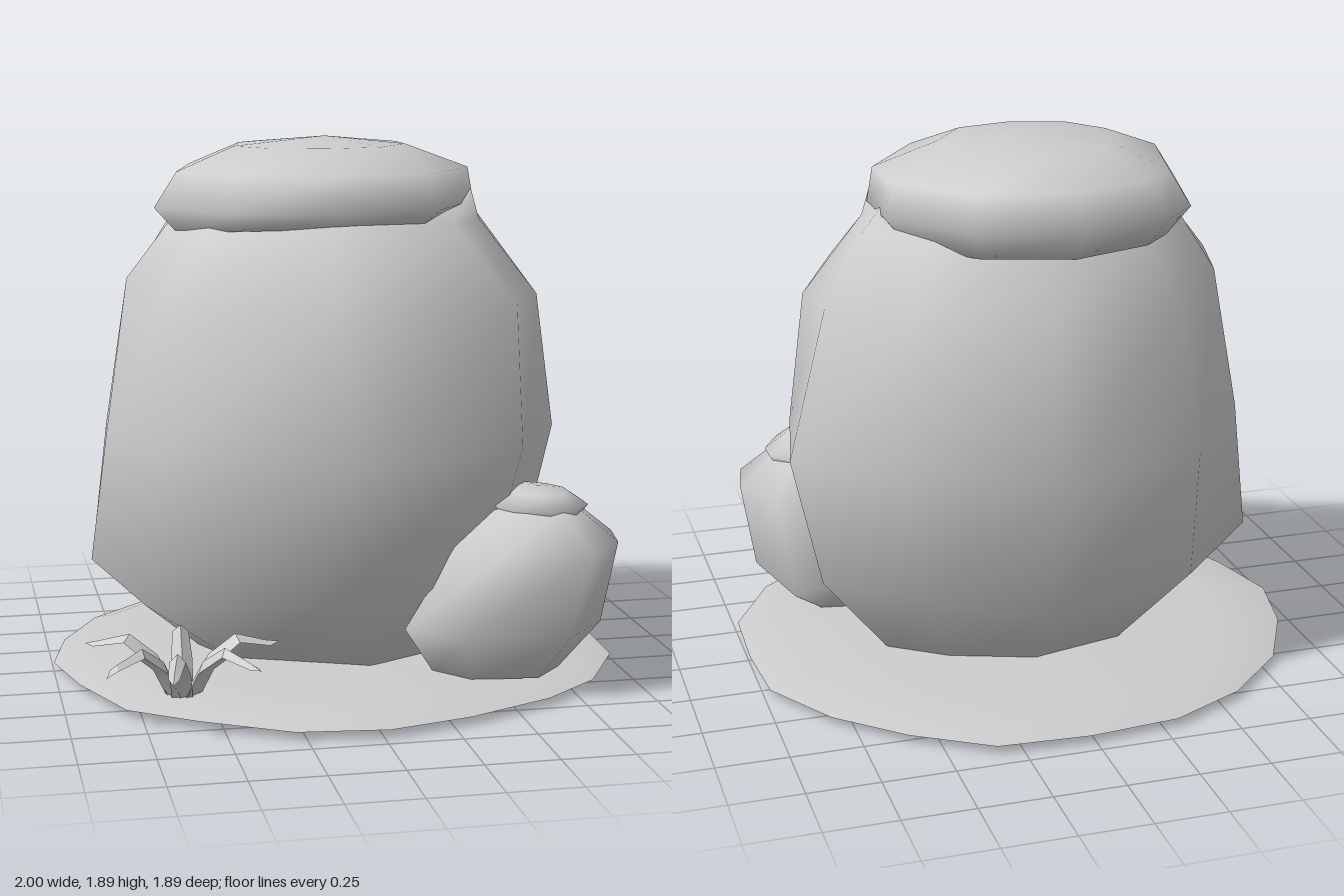
import * as THREE from 'three';
import { toCreasedNormals } from 'three/addons/utils/BufferGeometryUtils.js';

const stone = new THREE.MeshStandardMaterial({ color: 0xcccccc });
stone.name = 'plain grey';

// Skin a stack of equal-length rings of [x, y, z]; both ends close on a centre point.
function loft(rings, bottom, top, crease = 0) {
  const n = rings[0].length;
  const points = [...rings.flat(), bottom, top];
  const lowest = points.length - 2, highest = points.length - 1;
  const last = (rings.length - 1) * n;
  const index = [];
  for (let i = 0; i < n; i++) {
    const j = (i + 1) % n;
    index.push(lowest, i, j);
    for (let r = 0; r < rings.length - 1; r++) {
      const a = r * n, b = a + n;
      index.push(a + i, b + i, a + j, a + j, b + i, b + j);
    }
    index.push(last + i, highest, last + j);
  }
  const g = new THREE.BufferGeometry();
  g.setAttribute('position', new THREE.Float32BufferAttribute(points.flat(), 3));
  g.setIndex(index);
  g.computeVertexNormals();
  return crease ? toCreasedNormals(g, crease) : g;
}

// Fit a plan outline into the x and z limits given for each height.
function fitted(outline, levels) {
  const xs = outline.map(p => p[0]), zs = outline.map(p => p[1]);
  const [ax, bx, az, bz] = [Math.min(...xs), Math.max(...xs), Math.min(...zs), Math.max(...zs)];
  return levels.map(([y, x0, x1, z0, z1]) => outline.map(([x, z]) => [
    x0 + (x - ax) / (bx - ax) * (x1 - x0), y, z0 + (z - az) / (bz - az) * (z1 - z0)]));
}

function part(name, geometry) {
  const mesh = new THREE.Mesh(geometry, stone);
  mesh.name = name;
  return mesh;
}

export function createModel() {
  const model = new THREE.Group();
  model.name = 'boulderScene';

  // Ground patch, gently domed
  const edge = [[0.02, -0.95], [0.34, -0.93], [0.6, -0.77], [0.82, -0.57], [0.98, -0.31], [1, -0.02],
    [0.99, 0.27], [0.83, 0.56], [0.62, 0.73], [0.31, 0.87], [0.02, 0.945], [-0.29, 0.91], [-0.58, 0.74],
    [-0.8, 0.58], [-0.93, 0.27], [-1, -0.01], [-0.94, -0.29], [-0.8, -0.57], [-0.57, -0.79], [-0.3, -0.92]];
  model.add(part('ground', loft([[1, 0.028], [0.93, 0.046], [0.78, 0.06], [0.45, 0.075]].map(
    ([s, y]) => edge.map(([x, z]) => [x * s, y, z * s])), [0, 0.028, 0], [0, 0.08, 0], 0.7)));

  // Main boulder
  const plan = [[0.07, -0.78], [0.57, -0.57], [0.88, -0.3], [0.79, 0.15], [0.57, 0.53], [-0.07, 0.8],
    [-0.65, 0.42], [-0.81, 0.02], [-0.79, -0.19], [-0.48, -0.63]];
  const boulder = fitted(plan, [
    [0.06, -0.47, 0.52, -0.41, 0.38],
    [0.38, -0.86, 0.77, -0.66, 0.68],
    [0.86, -0.8, 0.88, -0.775, 0.8],
    [1.36, -0.725, 0.73, -0.61, 0.69],
    [1.6, -0.57, 0.59, -0.46, 0.46],
    [1.7, -0.4, 0.5, -0.36, 0.34],
  ]);
  // Corners that break the even taper: [ring, corner, x, y, z]
  for (const [r, i, ...p] of [
    [0, 5, 0.08, 0.06, 0.38], [1, 0, 0.07, 0.32, -0.64], [1, 6, -0.71, 0.33, 0.38],
    [1, 7, -0.86, 0.41, 0.02], [1, 9, -0.5, 0.36, -0.5], [3, 3, 0.74, 1.33, 0.1],
    [3, 4, 0.55, 1.35, 0.51], [3, 6, -0.64, 1.38, 0.4], [3, 7, -0.72, 1.41, 0.02],
    [5, 3, 0.51, 1.7, 0.04],
  ]) boulder[r][i] = p;
  model.add(part('boulder', loft(boulder, [0, 0.02, 0], [0, 1.74, 0])));

  // Cap over the top: a level rim, steeper on the left side, the underside rising to the front
  const rim = [[-0.05, -0.62], [0.3, -0.51], [0.52, -0.24], [0.52, 0.03], [0.31, 0.38], [-0.05, 0.51],
    [-0.43, 0.39], [-0.63, 0.1], [-0.52, -0.36], [-0.39, -0.5]];
  model.add(part('topCap', loft([
    [1.555, 0.85, 0, 0.1], [1.66, 1, 0, 0], [1.78, 0.86, 0.2, 0], [1.862, 0.5, 0.15, 0],
  ].map(([y, s, flare, lift]) => rim.map(([x, z]) => {
    const scale = s + flare * Math.max(0, x);
    return [-0.05 + (x + 0.05) * scale, y + lift * Math.max(0, z), -0.06 + (z + 0.06) * scale];
  })), [-0.05, 1.62, -0.06], [0, 1.89, -0.07])));

  // Small rock
  const smallPlan = [[0.58, 0.1], [0.82, 0.16], [0.94, 0.36], [0.9, 0.55], [0.73, 0.73], [0.35, 0.69],
    [0.18, 0.52], [0.3, 0.22]];
  const smallRock = fitted(smallPlan, [
    [0.06, 0.28, 0.75, 0.2, 0.6],
    [0.23, 0.17, 0.9, 0.08, 0.71],
    [0.52, 0.33, 0.94, 0.16, 0.73],
    [0.64, 0.46, 0.79, 0.27, 0.6],
  ]);
  smallRock[1][1] = [0.81, 0.2, 0.07];
  model.add(part('smallRock', loft(smallRock, [0.55, 0.02, 0.4], [0.63, 0.66, 0.44])));

  // Small cap, tilted so that its lip overhangs on the left side
  const smallCap = fitted(rim, [
    [0.6, 0.52, 0.8, 0.3, 0.57],
    [0.645, 0.46, 0.83, 0.25, 0.62],
    [0.69, 0.53, 0.76, 0.31, 0.56],
  ]).map(ring => ring.map(([x, y, z]) => [x, y - 0.06 * (x - 0.65), z]));
  model.add(part('smallCap', loft(smallCap, [0.66, 0.6, 0.43], [0.65, 0.705, 0.44])));

  // Grass tuft: ridged blades that rise, arch over and taper
  const tuft = new THREE.Group();
  tuft.name = 'grassTuft';
  const root = [-0.6, 0.5];
  const tips = [[-0.92, 0.38, 0.21], [-0.88, 0.72, 0.185], [-0.68, 0.87, 0.195], [-0.38, 0.8, 0.205],
    [-0.27, 0.5, 0.215], [-0.58, 0.24, 0.21]];
  for (const [tx, tz, ty] of tips) {
    const dx = tx - root[0], dz = tz - root[1], len = Math.hypot(dx, dz);
    const sx = -dz / len, sz = dx / len;
    const rings = [[0.1, 0.03, 0.036], [0.3, 0.15, 0.036], [0.58, 0.225, 0.028], [0.9, 0.205, 0.018]].map(
      ([t, y, w]) => {
        const x = root[0] + dx * t, z = root[1] + dz * t;
        return [[x + sx * w, y, z + sz * w], [x - dx * 0.04, y + w * 0.9, z - dz * 0.04],
          [x - sx * w, y, z - sz * w]];
      });
    tuft.add(part('grassBlade', loft(rings, [root[0], 0.02, root[1]], [tx, ty, tz], 0.4)));
  }
  const stub = part('grassRoot', new THREE.CylinderGeometry(0.06, 0.03, 0.08, 6));
  stub.position.set(root[0], 0.04, root[1]);
  tuft.add(stub);
  model.add(tuft);

  return model;
}
